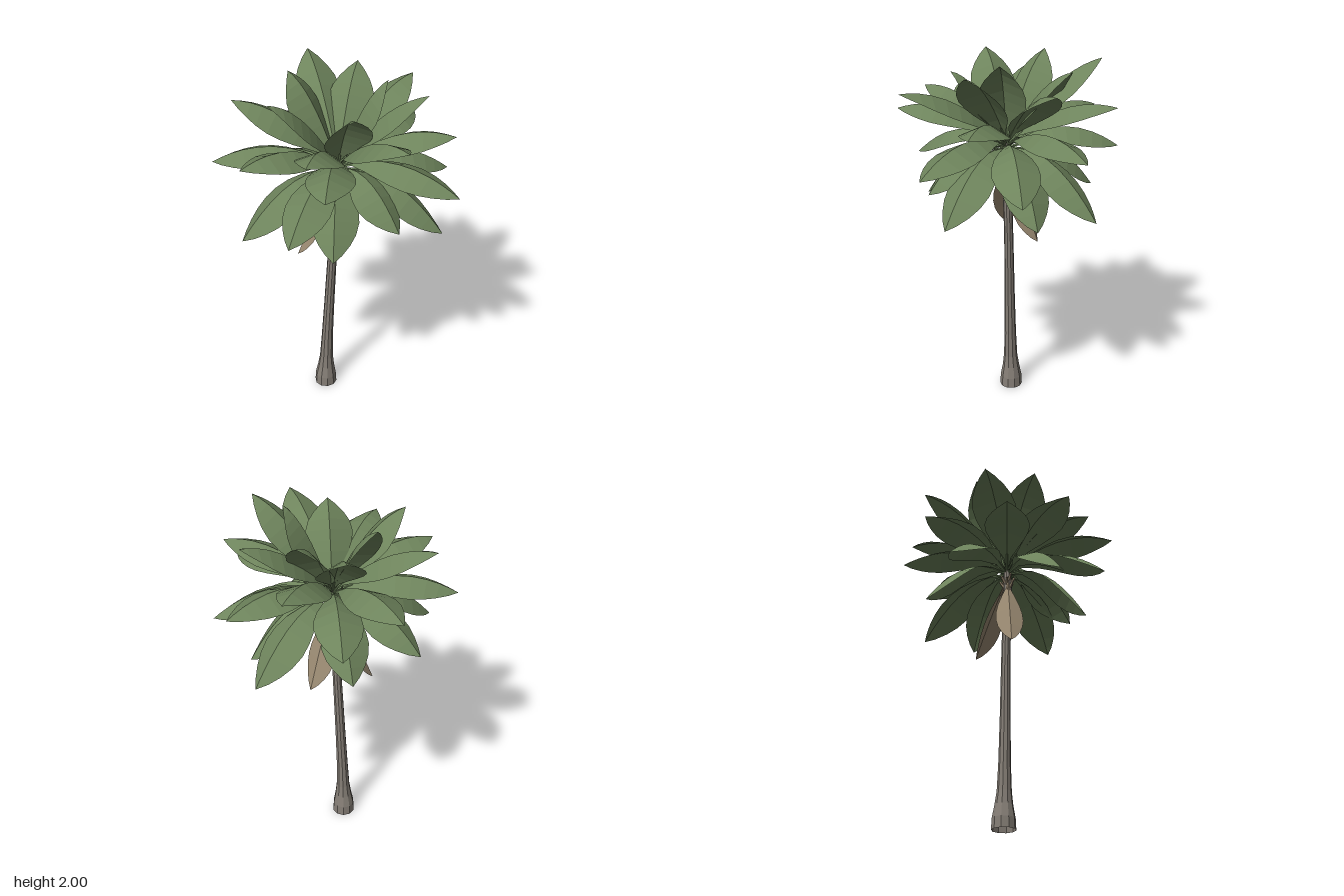
import * as THREE from 'three';

const green = new THREE.MeshStandardMaterial({ color: 0x6e845c, flatShading: true, side: THREE.DoubleSide });
green.name = 'leaf green';
const brown = new THREE.MeshStandardMaterial({ color: 0x9a8a72, flatShading: true, side: THREE.DoubleSide });
brown.name = 'dry leaf brown';
const bark = new THREE.MeshStandardMaterial({ color: 0x857e76, flatShading: true, side: THREE.DoubleSide });
bark.name = 'bark grey';

const V = (x, y, z) => new THREE.Vector3(x, y, z);

// Half width of a leaf along its length: [t, half width]
const OUTLINE = [[0, 0.006], [0.12, 0.022], [0.25, 0.068], [0.38, 0.108], [0.5, 0.131],
  [0.62, 0.137], [0.74, 0.121], [0.84, 0.09], [0.93, 0.048], [1, 0]];

// Leaf folded along its midrib: two blades that fall away from a curved rib
function leafGeometry(curve, scale, fold, sideDir) {
  const pos = [];
  const rows = OUTLINE.map(([t, w]) => {
    const p = curve.getPointAt(t);
    const n = V().crossVectors(curve.getTangentAt(t), sideDir).normalize();
    const edge = (s) => p.clone().addScaledVector(sideDir, s * w * scale * Math.cos(fold))
      .addScaledVector(n, -w * scale * Math.sin(fold));
    return { rib: p, a: edge(1), b: edge(-1) };
  });
  const tri = (...c) => c.forEach((q) => pos.push(q.x, q.y, q.z));
  for (let i = 0; i < rows.length - 1; i++) {
    const r = rows[i], s = rows[i + 1];
    tri(r.rib, s.rib, r.a); tri(r.a, s.rib, s.a);
    tri(r.rib, r.b, s.rib); tri(r.b, s.b, s.rib);
  }
  const g = new THREE.BufferGeometry();
  g.setAttribute('position', new THREE.Float32BufferAttribute(pos, 3));
  g.computeVertexNormals();
  return g;
}

function makeLeaf(name, base, tip, lift, mat, scale, fold) {
  const leaf = new THREE.Group();
  leaf.name = name;
  const mid = base.clone().lerp(tip, 0.5);
  mid.y += lift;
  const curve = new THREE.QuadraticBezierCurve3(base, mid, tip);
  // Level direction across the leaf; travel x side points to the upper face
  const out = V(tip.x - base.x, 0, tip.z - base.z).normalize();
  const blade = new THREE.Mesh(leafGeometry(curve, scale, fold, V(out.z, 0, -out.x)), mat);
  blade.name = name + 'Blade';
  // Short stalk under the first part of the rib
  const stalkCurve = new THREE.LineCurve3(curve.getPointAt(0), curve.getPointAt(0.16));
  const stalk = new THREE.Mesh(new THREE.TubeGeometry(stalkCurve, 1, 0.007, 5), mat);
  stalk.name = name + 'Stalk';
  leaf.add(blade, stalk);
  return leaf;
}

// Leaf tips: x, y, z
const TIPS = [
  // upright leaves
  [-0.21, 1.98, -0.2], [-0.065, 1.965, -0.49], [0.175, 1.95, -0.325], [0.255, 2.0, 0.035],
  [0.42, 1.98, 0.2], [0.04, 1.92, 0.285], [-0.355, 1.955, 0.115], [0.45, 1.9, -0.235],
  // spreading leaves
  [0.25, 1.86, 0.53], [-0.505, 1.855, -0.175], [0.23, 1.785, -0.55], [-0.22, 1.78, 0.44],
  [0.58, 1.73, 0.18], [-0.515, 1.705, 0.275], [-0.155, 1.67, 0.585], [-0.335, 1.64, -0.485],
  [-0.63, 1.57, -0.07], [0.515, 1.59, -0.385], [-0.05, 1.495, -0.59], [0.545, 1.515, 0.415],
  // drooping leaves
  [0.625, 1.405, -0.075], [-0.435, 1.365, -0.35], [-0.32, 1.37, 0.495], [0.25, 1.33, 0.4],
  [-0.52, 1.26, 0.22], [0.505, 1.24, 0.305], [0.385, 1.23, -0.45], [-0.1, 1.26, -0.46],
  [-0.09, 1.215, 0.43], [0.435, 1.2, -0.155],
];

// Trunk rings from the top down: y, x, z, radius
const TRUNK = [[1.52, 0.008, 0, 0.021], [1.4, 0.004, 0.002, 0.025], [1.0, -0.015, -0.01, 0.025],
  [0.6, -0.035, -0.016, 0.029], [0.35, -0.047, -0.02, 0.033], [0.2, -0.052, -0.022, 0.039],
  [0.13, -0.054, -0.024, 0.048], [0.06, -0.056, -0.025, 0.061], [0, -0.056, -0.025, 0.064]];

function makeTrunk() {
  const n = TRUNK.length - 1;
  const g = new THREE.CylinderGeometry(1, 1, n, 10, n, true);
  const p = g.attributes.position;
  for (let i = 0; i < p.count; i++) {
    const [y, x, z, r] = TRUNK[Math.round(n / 2 - p.getY(i))];
    p.setXYZ(i, x + p.getX(i) * r, y, z + p.getZ(i) * r);
  }
  g.computeVertexNormals();
  const trunk = new THREE.Mesh(g, bark);
  trunk.name = 'trunk';
  return trunk;
}

export function createModel() {
  const palm = new THREE.Group();
  palm.name = 'palmTree';
  palm.add(makeTrunk());

  // Crown of arching green leaves; higher tips start higher on the hub and arch less
  const crown = new THREE.Group();
  crown.name = 'crown';
  TIPS.forEach(([x, y, z], i) => {
    const k = (y - 1.2) / 0.8;
    const d = Math.hypot(x, z);
    const base = V(0.01 + 0.014 * x / d, 1.505 + 0.045 * k, 0.014 * z / d);
    crown.add(makeLeaf('leaf' + (i + 1), base, V(x, y, z), 0.235 - 0.08 * k, green, 1, 0.46));
  });
  palm.add(crown);

  // Dry leaves hanging beside the trunk
  const dry = new THREE.Group();
  dry.name = 'dryLeaves';
  dry.add(makeLeaf('dryLeafRight', V(-0.01, 1.45, 0), V(-0.21, 0.985, 0), 0.03, brown, 0.6, 0.4));
  dry.add(makeLeaf('dryLeafBack', V(0.015, 1.45, -0.01), V(0.125, 1.01, -0.165), 0.03, brown, 0.66, 0.4));
  palm.add(dry);

  // Old leaf stubs around the top of the trunk
  for (let i = 0; i < 10; i++) {
    const a = i * 2.4;
    const stub = new THREE.Mesh(new THREE.CylinderGeometry(0.006, 0.01, 0.045, 5), brown);
    stub.name = 'leafStub' + (i + 1);
    stub.position.set(0.005 + 0.029 * Math.cos(a), 1.42 + 0.006 * i, 0.029 * Math.sin(a));
    stub.rotation.set(0.6 * Math.sin(a), 0, -0.6 * Math.cos(a));
    palm.add(stub);
  }
  return palm;
}
